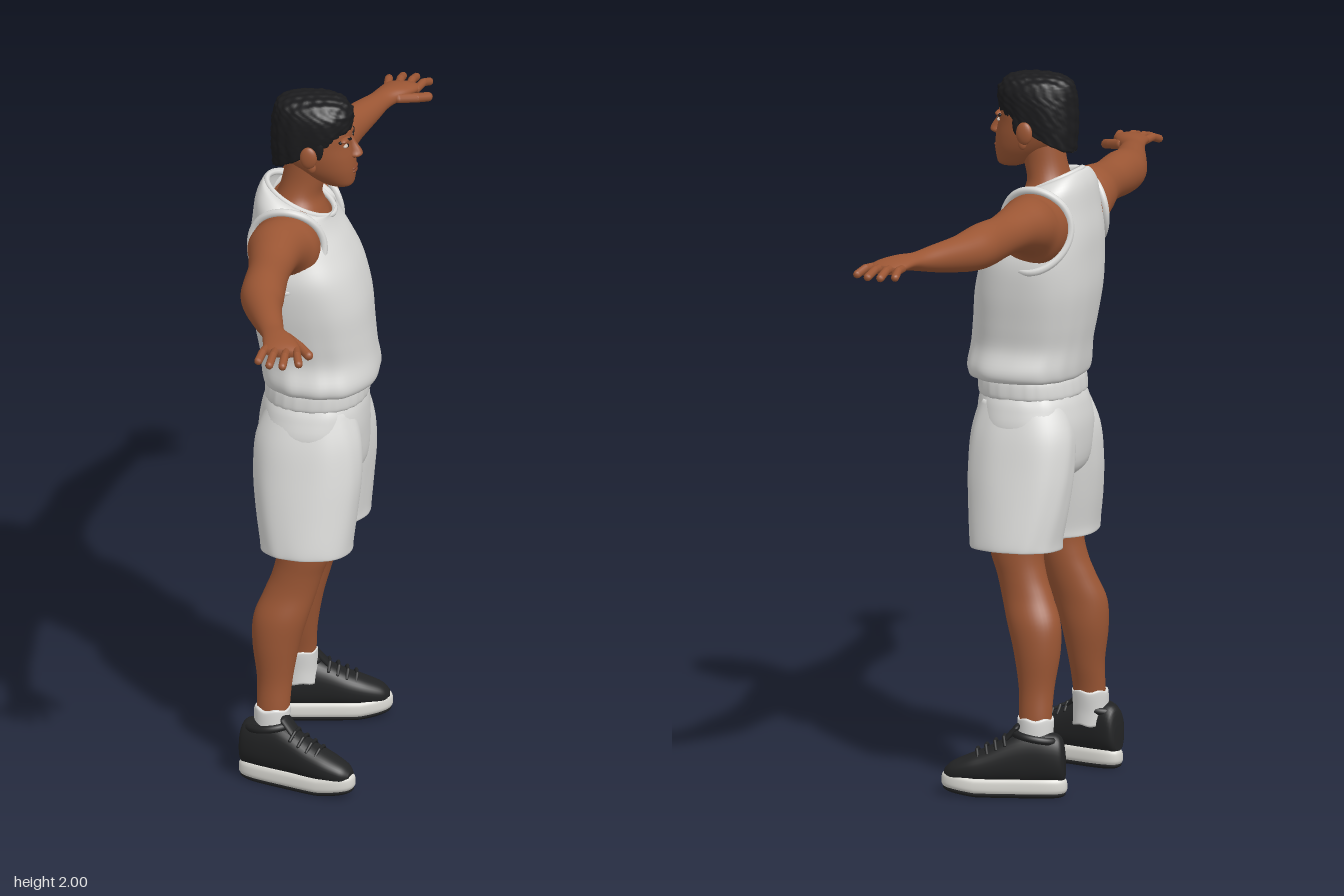
import * as THREE from 'three';
import { mergeGeometries, mergeVertices } from 'three/addons/utils/BufferGeometryUtils.js';

const mat = (name, color, side = THREE.FrontSide) => {
  const m = new THREE.MeshStandardMaterial({ color, side });
  m.name = name;
  return m;
};
const V = (x, y, z) => new THREE.Vector3(x, y, z);

// Smooth closed surface through elliptical rings along one axis.
// Ring: [position, centreU, centreV, radiusU, radiusV, tilt]; (u, v) = (z,x) for y, (x,y) for z, (y,z) for x.
function loft(axis, rows, { seg = 36, n = 2, sub = 5, capA = true, capB = true, deform } = {}) {
  const at = (i) => rows[Math.min(rows.length - 1, Math.max(0, i))];
  const mix = (i, t, k) => {
    const [a, b, c, d] = [-1, 0, 1, 2].map((o) => at(i + o)[k] || 0);
    return b + 0.5 * t * (c - a + t * (2 * a - 5 * b + 4 * c - d + t * (3 * (b - c) + d - a)));
  };
  const place = (w, u, v) => (axis === 'y' ? V(v, w, u) : axis === 'z' ? V(u, v, w) : V(w, u, v));
  const pow = (c) => Math.sign(c) * Math.pow(Math.abs(c), 2 / n);
  const pts = [], idx = [], total = (rows.length - 1) * sub;
  for (let j = 0; j <= total; j++) {
    const i = Math.min(rows.length - 2, Math.floor(j / sub)), t = j / sub - i;
    const [w, cu, cv, ru, rv, tilt] = [0, 1, 2, 3, 4, 5].map((k) => mix(i, t, k));
    for (let s = 0; s < seg; s++) {
      const a = (s / seg) * Math.PI * 2, v = pow(Math.sin(a));
      const p = place(w + tilt * v, cu + ru * pow(Math.cos(a)), cv + rv * v);
      if (deform) deform(p, a, j / total);
      pts.push(p);
      if (j < total) {
        const q = j * seg + s, r = j * seg + ((s + 1) % seg);
        idx.push(q, r, q + seg, r, r + seg, q + seg);
      }
    }
  }
  const cap = (row, start, flip) => {
    pts.push(place(row[0], row[1], row[2]));
    for (let s = 0; s < seg; s++) {
      const q = start + s, r = start + ((s + 1) % seg);
      idx.push(pts.length - 1, flip ? r : q, flip ? q : r);
    }
  };
  if (capA) cap(rows[0], 0, true);
  if (capB) cap(rows[rows.length - 1], total * seg, false);
  const g = new THREE.BufferGeometry().setFromPoints(pts);
  g.setIndex(idx);
  g.computeVertexNormals();
  return g;
}

// Chain of capsules through a list of points
function chain(points, r) {
  return mergeGeometries(points.slice(1).map((b, i) => {
    const a = points[i], d = b.clone().sub(a);
    const g = new THREE.CapsuleGeometry(r, d.length(), 5, 10);
    g.applyQuaternion(new THREE.Quaternion().setFromUnitVectors(V(0, 1, 0), d.normalize()));
    return g.translate((a.x + b.x) / 2, (a.y + b.y) / 2, (a.z + b.z) / 2);
  }));
}
const blob = (x, y, z, rx, ry, rz) => new THREE.SphereGeometry(1, 20, 14).scale(rx, ry, rz).translate(x, y, z);
const loop = (r, fn) => new THREE.TubeGeometry(new THREE.CatmullRomCurve3(
  Array.from({ length: 24 }, (_, i) => fn((i / 24) * Math.PI * 2)), true), 72, r, 8, true);

// Copy of a geometry on the other side of the body
function mirrored(geo) {
  const g = geo.index ? geo.clone() : mergeVertices(geo);
  g.applyMatrix4(new THREE.Matrix4().makeScale(1, 1, -1));
  const a = g.index.array;
  for (let i = 0; i < a.length; i += 3) [a[i], a[i + 1]] = [a[i + 1], a[i]];
  return g;
}

export function createModel() {
  const skin = mat('skin', 0x9b5634), lipSkin = mat('lips', 0x84452c);
  const cloth = mat('white cloth', 0xdadad8, THREE.DoubleSide);
  const hairMat = mat('black hair', 0x1b1b1d), shoeMat = mat('black shoe', 0x222324);
  const soleMat = mat('off-white sole', 0xd9d8d2), eyeMat = mat('eye white', 0xc9bdb2);

  const model = new THREE.Group();
  const body = new THREE.Group();
  body.name = 'body';
  body.position.z = 0.01;
  model.add(body);
  const add = (name, geo, m, parent = body) => {
    const mesh = new THREE.Mesh(geo, m);
    mesh.name = name;
    parent.add(mesh);
  };
  const both = (name, geo, m, parent = body) => {
    add(name + 'Left', geo, m, parent);
    add(name + 'Right', mirrored(geo), m, parent);
  };

  // Neck, upper chest and head
  add('neck', loft('y', [[1.54, 0, -0.055, 0.12, 0.1], [1.62, 0, -0.06, 0.115, 0.1], [1.66, 0, -0.052, 0.1, 0.08],
    [1.7, 0, -0.045, 0.072, 0.062], [1.75, 0, -0.032, 0.06, 0.06], [1.82, 0, -0.02, 0.06, 0.06]]), skin);
  add('head', loft('y', [[1.73, 0, 0.072, 0.022, 0.026], [1.742, 0, 0.062, 0.042, 0.046], [1.78, 0, 0.03, 0.065, 0.083],
    [1.82, 0, 0.008, 0.077, 0.102], [1.86, 0, -0.002, 0.081, 0.104], [1.9, 0, -0.006, 0.081, 0.105],
    [1.95, 0, -0.01, 0.072, 0.09], [1.98, 0, -0.01, 0.04, 0.05]], { n: 2.2 }), skin);
  add('nose', loft('y', [[1.815, 0, 0.106, 0.01, 0.008], [1.824, 0, 0.11, 0.02, 0.021], [1.838, 0, 0.108, 0.014, 0.021],
    [1.86, 0, 0.1, 0.009, 0.014], [1.885, 0, 0.092, 0.008, 0.008]], { seg: 16 }), skin);
  add('lips', mergeGeometries([blob(0.108, 1.787, 0, 0.009, 0.006, 0.026), blob(0.107, 1.777, 0, 0.01, 0.007, 0.022)]), lipSkin);
  add('chin', blob(0.088, 1.75, 0, 0.022, 0.018, 0.028), skin);
  both('ear', mergeGeometries([blob(-0.004, 1.84, 0.088, 0.024, 0.032, 0.012), blob(0.004, 1.808, 0.082, 0.012, 0.016, 0.009)]), skin);
  both('brow', chain([V(0.1, 1.876, 0.016), V(0.096, 1.884, 0.04), V(0.08, 1.88, 0.06)], 0.0045), hairMat);
  both('browRidge', blob(0.087, 1.882, 0.033, 0.014, 0.009, 0.03), skin);
  both('eye', blob(0.09, 1.863, 0.034, 0.008, 0.006, 0.015), eyeMat);
  both('pupil', blob(0.095, 1.863, 0.033, 0.0045, 0.0055, 0.006), hairMat);

  // Curly cropped hair
  add('hair', loft('y', [[1.84, 0, -0.01, 0.082, 0.108, 0.06], [1.88, 0, -0.01, 0.086, 0.113, 0.04],
    [1.93, 0, -0.01, 0.086, 0.112, 0.02], [1.962, 0, -0.009, 0.079, 0.105], [1.982, 0, -0.008, 0.064, 0.086],
    [1.992, 0, -0.008, 0.037, 0.052], [1.995, 0, -0.008, 0.008, 0.012]], {
    seg: 72, sub: 7, n: 2.2,
    deform: (p) => {
      const k = Math.sin(p.x * 210 + 2 * Math.sin(p.y * 90)) * Math.sin(p.y * 230 + p.z * 60) + Math.sin(p.z * 220 + p.x * 70);
      const f = 1 + 0.017 * k;
      p.set(-0.01 + (p.x + 0.01) * f, 1.88 + (p.y - 1.88) * (1 + 0.012 * k), p.z * f);
    },
  }), hairMat);
  both('sideburn', blob(0.022, 1.865, 0.077, 0.014, 0.035, 0.007), hairMat);

  // Tank top with soft folds gathering at the waist
  add('tankTop', loft('y', [[1.145, 0, 0.012, 0.155, 0.135], [1.152, 0, 0.016, 0.182, 0.153], [1.18, 0, 0.016, 0.19, 0.16],
    [1.24, 0, 0.008, 0.174, 0.16], [1.31, 0, -0.002, 0.183, 0.163], [1.4, 0, -0.013, 0.196, 0.165],
    [1.49, 0, -0.026, 0.199, 0.154], [1.56, 0, -0.042, 0.18, 0.138], [1.62, 0, -0.053, 0.162, 0.119, -0.008],
    [1.668, 0, -0.056, 0.148, 0.108, -0.025], [1.692, 0, -0.048, 0.118, 0.1, -0.038], [1.688, 0, -0.042, 0.09, 0.094, -0.045]], {
    seg: 80, n: 2.4, capB: false,
    deform: (p, a, t) => {
      const f = 1 + 0.014 * Math.max(0, 1 - t * 2) * Math.sin(11 * a + 2 * Math.sin(3 * a)) + 0.005 * Math.sin(4 * a + t * 9) * (1 - t);
      p.x *= f;
      p.z *= f;
    },
  }), cloth);
  add('neckTrim', loop(0.008, (a) => V(-0.042 + 0.094 * Math.cos(a), 1.688 - 0.045 * Math.cos(a), 0.09 * Math.sin(a))), cloth);
  both('armholeTrim', loop(0.011, (a) => {
    const y = 1.585 + 0.112 * Math.sin(a);
    return V(-0.056 + 0.103 * Math.cos(a), y, 0.17 - 0.19 * (y - 1.585) - 0.045 * Math.cos(a) ** 2);
  }), cloth);

  // Arms, hands and fingers
  const arms = new THREE.Group();
  arms.name = 'arms';
  model.add(arms);
  both('arm', loft('z', [[0.1, -0.058, 1.588, 0.098, 0.1], [0.165, -0.058, 1.588, 0.096, 0.1], [0.2, -0.066, 1.606, 0.086, 0.085],
    [0.24, -0.07, 1.616, 0.078, 0.074], [0.3, -0.066, 1.62, 0.067, 0.062], [0.38, -0.061, 1.617, 0.058, 0.057],
    [0.48, -0.054, 1.615, 0.06, 0.062], [0.54, -0.048, 1.613, 0.061, 0.059], [0.6, -0.035, 1.612, 0.054, 0.052],
    [0.7, -0.001, 1.616, 0.043, 0.039], [0.77, 0.025, 1.62, 0.036, 0.027], [0.82, 0.052, 1.625, 0.045, 0.022],
    [0.87, 0.07, 1.622, 0.052, 0.019], [0.9, 0.073, 1.617, 0.046, 0.012]]), skin, arms);
  const fingers = [[0.03, 0.02, 0.945], [0.058, 0.055, 0.967], [0.087, 0.092, 0.968], [0.112, 0.133, 0.945]];
  both('fingers', mergeGeometries(fingers.map(([x0, x1, z]) =>
    chain([V(x0, 1.62, 0.87), V((x0 + x1) / 2, 1.622, (z + 0.88) / 2), V(x1, 1.611, z)], 0.0115))), skin, arms);
  both('thumb', chain([V(0.075, 1.62, 0.8), V(0.118, 1.61, 0.835), V(0.145, 1.602, 0.865)], 0.0135), skin, arms);

  // Shorts: hips, waistband and two wide legs
  const folds = (cz) => (p, a, t) => {
    const f = 1 + 0.014 * Math.sin(9 * a + 1.5 * Math.sin(2 * a + 5 * t)) * (0.4 + 0.6 * Math.abs(t - 0.4));
    p.x *= f;
    p.z = cz + (p.z - cz) * f;
  };
  add('shortsHips', loft('y', [[0.86, 0, 0, 0.05, 0.1], [0.9, 0, -0.002, 0.14, 0.142], [1.0, 0, -0.003, 0.182, 0.151],
    [1.07, 0, 0.001, 0.172, 0.146], [1.105, 0, 0.004, 0.158, 0.138]], { seg: 64, n: 2.3, deform: folds(0) }), cloth);
  add('waistband', loft('y', [[1.095, 0, 0.004, 0.155, 0.136], [1.105, 0, 0.005, 0.163, 0.143], [1.14, 0, 0.007, 0.162, 0.142],
    [1.16, 0, 0.008, 0.155, 0.136]], { seg: 80, n: 2.3, deform: (p, a) => { p.x *= 1 + 0.008 * Math.sin(26 * a); p.z *= 1 + 0.008 * Math.sin(26 * a); } }), cloth);
  both('shortsLeg', loft('y', [[0.69, 0.135, 0, 0.105, 0.118, 0], [0.68, 0.135, 0, 0.114, 0.127], [0.71, 0.134, 0, 0.114, 0.13],
    [0.8, 0.121, -0.002, 0.111, 0.142], [0.9, 0.106, -0.002, 0.106, 0.151], [1.0, 0.09, -0.002, 0.1, 0.147],
    [1.09, 0.075, 0.003, 0.085, 0.12]], { seg: 56, n: 2.2, capA: false, deform: (p, a, t) => {
    folds(0.12)(p, a, t);
    p.y += (p.z - 0.13) * 0.08 * Math.max(0, 1 - 2 * t);
  } }), cloth);

  // Legs and socks
  both('leg', loft('y', [[0.15, 0.198, -0.083, 0.038, 0.043], [0.22, 0.193, -0.082, 0.04, 0.046], [0.3, 0.18, -0.08, 0.047, 0.05],
    [0.4, 0.172, -0.078, 0.06, 0.066], [0.48, 0.167, -0.066, 0.062, 0.076], [0.55, 0.154, -0.042, 0.058, 0.073],
    [0.61, 0.147, -0.022, 0.06, 0.07], [0.68, 0.143, -0.005, 0.066, 0.076], [0.82, 0.135, 0, 0.075, 0.09]]), skin);
  both('sock', loft('y', [[0.12, 0.2, -0.084, 0.046, 0.052], [0.16, 0.199, -0.084, 0.045, 0.05], [0.205, 0.196, -0.084, 0.047, 0.051],
    [0.217, 0.195, -0.083, 0.045, 0.05], [0.218, 0.194, -0.083, 0.038, 0.044]], { deform: (p, a) => { p.y += 0.003 * Math.sin(5 * a); } }), cloth);

  // Shoes, built pointing forward and then turned out
  const turn = (g) => g.rotateY(-0.26).translate(-0.007, 0, 0.236);
  const waist = (p) => {
    p.z *= 0.93 + 0.1 * Math.sin(p.x * 16 - 0.6);
    p.y += Math.max(0, p.x - 0.08) * 0.14;
  };
  const foot = { n: 2.5, seg: 48, deform: waist };
  both('shoeTread', turn(loft('y', [[0, 0, 0, 0.044, 0.16], [0.006, 0, 0, 0.05, 0.17], [0.014, 0, 0, 0.05, 0.17]], foot)), shoeMat);
  both('shoeSole', turn(loft('y', [[0.012, 0, 0, 0.05, 0.17], [0.022, 0, 0, 0.054, 0.175], [0.042, 0, 0, 0.053, 0.174],
    [0.052, 0, 0, 0.048, 0.168]], foot)), soleMat);
  both('shoeUpper', turn(loft('x', [[-0.169, 0.085, 0, 0.035, 0.02], [-0.158, 0.105, 0, 0.064, 0.036], [-0.12, 0.11, 0, 0.072, 0.044],
    [-0.06, 0.108, 0, 0.075, 0.046], [-0.01, 0.1, 0, 0.065, 0.048], [0.05, 0.084, 0, 0.05, 0.05],
    [0.1, 0.074, 0, 0.039, 0.048], [0.145, 0.064, 0, 0.028, 0.037], [0.166, 0.058, 0, 0.014, 0.018]], { n: 2.3 })), shoeMat);
  both('shoeCollar', turn(loop(0.011, (a) => V(-0.088 + 0.058 * Math.cos(a), 0.168 + 0.01 * Math.cos(a), 0.042 * Math.sin(a)))), shoeMat);
  both('shoeTongue', turn(new THREE.CapsuleGeometry(0.014, 0.05, 5, 12).scale(0.6, 1, 1.9).rotateZ(0.7).translate(-0.018, 0.173, 0)), shoeMat);
  both('shoeLaces', turn(mergeGeometries([0, 1, 2, 3].map((i) => {
    const x = 0.0 + i * 0.025, y = 0.167 - i * 0.0125;
    return chain([V(x - 0.006, y - 0.02, -0.034), V(x, y, -0.014), V(x, y, 0.014), V(x - 0.006, y - 0.02, 0.034)], 0.005);
  }))), shoeMat);

  return model;
}
